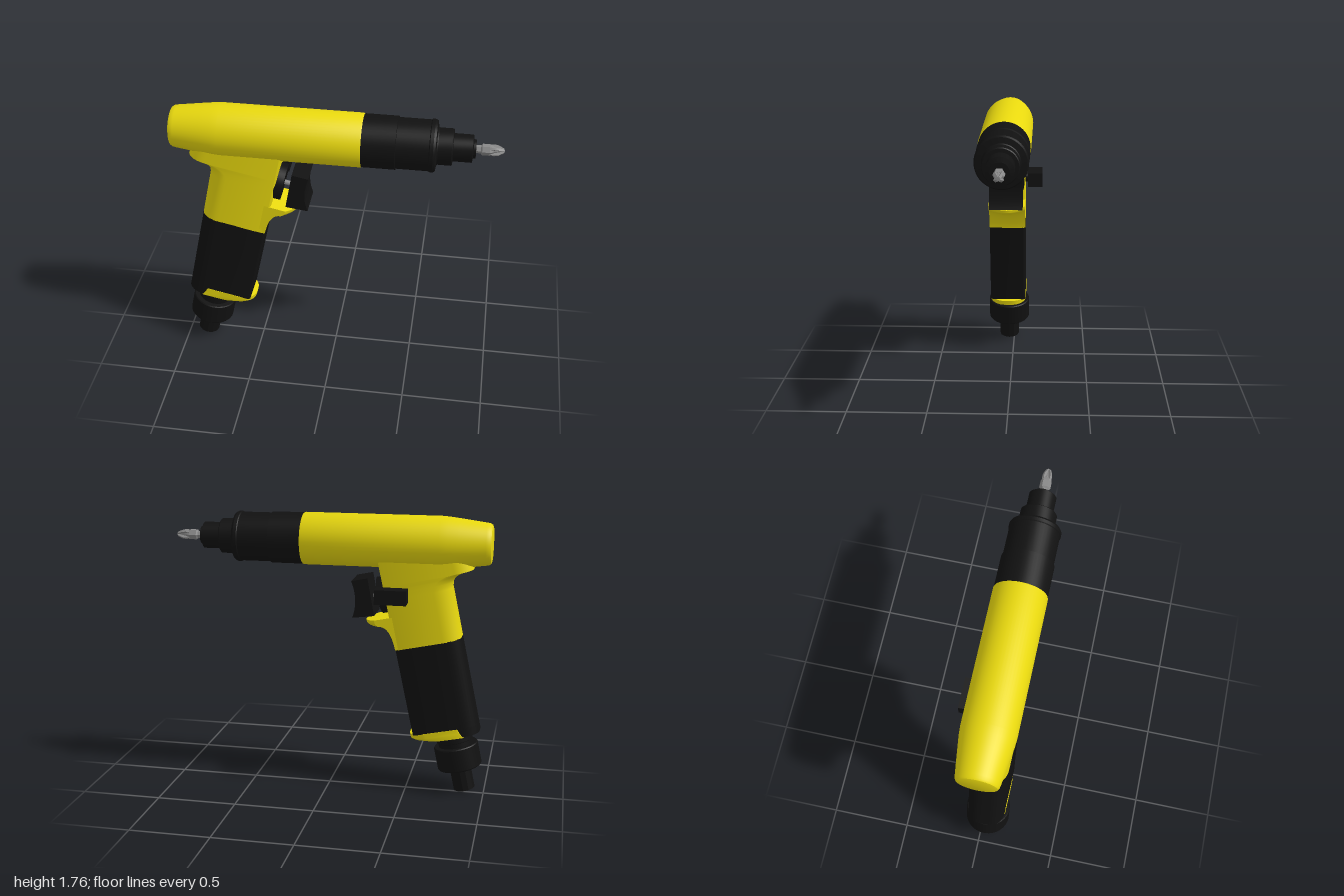
import * as THREE from 'three';
import { toCreasedNormals } from 'three/addons/utils/BufferGeometryUtils.js';

const mat = (color) => new THREE.MeshStandardMaterial({ color, side: THREE.DoubleSide });
const V2 = (p) => new THREE.Vector2(p[0], p[1]);

function add(parent, name, geo, material, crease = 0.5) {
  const mesh = new THREE.Mesh(toCreasedNormals(geo, crease), material);
  mesh.name = name;
  parent.add(mesh);
  return mesh;
}

// Turned part, profile given as [radius, distance along the axis]
const turned = (profile, sides = 48) => new THREE.LatheGeometry(profile.map(V2), sides);

// Side outline extruded across z, centred
function slab(shape, width, steps = 1) {
  const geo = new THREE.ExtrudeGeometry(shape, { depth: width, steps, bevelEnabled: false, curveSegments: 16 });
  return geo.translate(0, 0, -width / 2);
}

// Horizontal section: rectangle with elliptical corners at the back and front
function section({ v, u0, u1, w = 0.12, back = [0.11, 0.085], front = [0.02, 0.02], slope = 0 }) {
  const pts = [], n = 8;
  const corners = [[1, 1], [-1, 1], [-1, -1], [1, -1]];
  corners.forEach(([sx, sz], c) => {
    const [ru, rz] = sx > 0 ? front : back;
    const cu = sx > 0 ? u1 - ru : u0 + ru;
    for (let i = 0; i <= n; i++) {
      const a = (c + i / n) * Math.PI / 2;
      const u = cu + ru * Math.cos(a);
      pts.push([u, v + slope * u, sz * (w - rz) + rz * Math.sin(a)]);
    }
  });
  return pts;
}

// Skin a stack of sections and close both ends
function loft(rows) {
  const loops = rows.map(section), pos = [], n = loops[0].length;
  const centre = (l) => [0, 1, 2].map((k) => l.reduce((s, p) => s + p[k], 0) / n);
  const bottom = loops[0], top = loops[loops.length - 1];
  const cb = centre(bottom), ct = centre(top);
  for (let i = 0; i < n; i++) {
    const j = (i + 1) % n;
    for (let r = 0; r + 1 < loops.length; r++) {
      const a = loops[r][i], b = loops[r][j], c = loops[r + 1][i], d = loops[r + 1][j];
      pos.push(...a, ...c, ...b, ...b, ...c, ...d);
    }
    pos.push(...cb, ...bottom[i], ...bottom[j], ...ct, ...top[j], ...top[i]);
  }
  const geo = new THREE.BufferGeometry();
  geo.setAttribute('position', new THREE.Float32BufferAttribute(pos, 3));
  return geo;
}

export function createModel() {
  const model = new THREE.Group();
  model.name = 'pneumaticScrewdriver';
  const yellow = mat(0xe8d80e), black = mat(0x111111), steel = mat(0x888888);

  // Barrel: everything turned about the long axis
  const barrel = new THREE.Group();
  barrel.name = 'barrel';
  barrel.position.set(0, 1.6, 0.032);
  barrel.rotation.z = -Math.PI / 2;
  model.add(barrel);

  add(barrel, 'motorHousing', turned([[0, -1], [0.105, -1], [0.118, -0.996], [0.126, -0.985], [0.13, -0.965],
    [0.152, -0.8], [0.16, -0.735], [0.163, -0.69], [0.163, 0.16], [0.16, 0.168], [0, 0.168]]), yellow);
  add(barrel, 'clutchHousing', turned([[0, 0.168], [0.16, 0.168], [0.16, 0.37], [0.153, 0.372], [0.153, 0.565],
    [0.158, 0.57], [0.158, 0.59], [0.15, 0.603], [0.115, 0.608], [0.11, 0.615], [0.11, 0.695], [0.105, 0.7],
    [0.083, 0.702], [0.083, 0.815], [0.056, 0.82], [0.056, 0.835], [0, 0.835]]), black);

  // Screwdriver bit: hex body, tapered core and four fins
  const bit = new THREE.Group();
  bit.name = 'bit';
  barrel.add(bit);
  add(bit, 'bitShank', turned([[0, 0.83], [0.024, 0.83], [0.024, 0.862], [0.034, 0.87], [0.034, 0.915],
    [0.026, 0.935], [0, 0.935]], 6), steel, 0.1);
  add(bit, 'bitCore', turned([[0, 0.93], [0.023, 0.93], [0.009, 0.99], [0, 1]], 12), steel);
  const fin = new THREE.Shape([[-0.03, 0.915], [0.03, 0.915], [0.034, 0.94], [0.03, 0.965], [0.013, 0.997],
    [0, 1], [-0.013, 0.997], [-0.03, 0.965], [-0.034, 0.94]].map(V2));
  for (let i = 0; i < 2; i++) {
    add(bit, 'bitFin', slab(fin, 0.014), steel).rotation.y = Math.PI / 4 + i * Math.PI / 2;
  }

  // Handle: built upright, then leaned forward
  const handle = new THREE.Group();
  handle.name = 'handle';
  handle.position.set(-0.876, 0.017, 0.035);
  handle.rotation.z = -0.213;
  model.add(handle);

  const u0 = -0.171, u1 = 0.241;
  add(handle, 'upperHandle', loft([
    { v: 0.99, u0, u1 }, { v: 1.31, u0, u1 }, { v: 1.345, u0: -0.182, u1 }, { v: 1.365, u0: -0.2, u1 },
    { v: 1.38, u0: -0.225, u1 }, { v: 1.392, u0: -0.265, u1 }, { v: 1.397, u0: -0.32, u1 },
    { v: 1.568, u0: -0.31, u1, slope: 0.216 },
  ]), yellow, 0.6);
  add(handle, 'grip', loft([
    { v: 0.375, u0, u1: -0.03 }, { v: 0.428, u0, u1: -0.01 }, { v: 0.428, u0, u1 }, { v: 0.992, u0, u1 },
  ]), black);

  // Finger rest below the trigger, its lip rounded across the width
  const rest = new THREE.Shape();
  rest.moveTo(0.2, 1.0);
  rest.lineTo(u1, 0.993);
  rest.bezierCurveTo(0.243, 1.09, 0.28, 1.148, 0.36, 1.155);
  rest.quadraticCurveTo(0.39, 1.16, 0.402, 1.182);
  rest.lineTo(0.402, 1.2);
  rest.lineTo(0.2, 1.2);
  const restGeo = slab(rest, 0.24, 12), p = restGeo.attributes.position;
  for (let i = 0; i < p.count; i++) {
    const over = Math.max(0, p.getX(i) - u1);
    p.setX(i, p.getX(i) - over * 0.42 * (p.getZ(i) / 0.12) ** 2);
  }
  add(handle, 'fingerRest', restGeo, yellow);

  // Collar at the foot of the grip, with a rounded front lip
  const lip = { w: 0.122, back: [0.01, 0.01], front: [0.11, 0.1] };
  add(handle, 'gripCollar', loft([
    { v: 0.37, u0: -0.075, u1: 0.18, ...lip }, { v: 0.387, u0: -0.067, u1: 0.25, ...lip },
    { v: 0.4, u0: -0.061, u1: 0.27, ...lip }, { v: 0.43, u0: -0.049, u1: 0.27, ...lip },
  ]), yellow);

  // Air inlet
  add(handle, 'inletNeck', turned([[0, 0.28], [0.108, 0.28], [0.108, 0.33], [0.116, 0.335], [0.116, 0.4], [0, 0.4]]), black);
  add(handle, 'inletNut', turned([[0, 0.153], [0.136, 0.153], [0.141, 0.16], [0.141, 0.296], [0.136, 0.302], [0, 0.302]]), black);
  add(handle, 'inletTail', turned([[0, 0], [0.068, 0], [0.068, 0.16], [0, 0.16]], 12), black);

  // Trigger: seat disc, plunger rod and concave button
  const along = (r, from, to) => new THREE.CylinderGeometry(r, r, to - from, 32)
    .rotateZ(-Math.PI / 2).translate((from + to) / 2, 1.332, 0);
  add(handle, 'triggerSeat', along(0.115, 0.22, 0.285), black);
  add(handle, 'triggerRod', along(0.015, 0.28, 0.34), steel);
  const button = new THREE.Shape();
  button.moveTo(0.33, 1.226);
  button.lineTo(0.468, 1.238);
  button.quadraticCurveTo(0.405, 1.34, 0.427, 1.466);
  button.lineTo(0.323, 1.465);
  add(handle, 'triggerButton', slab(button, 0.215), black);

  // Reversing lever on the model's back side
  const lever = new THREE.Group();
  lever.name = 'reverseLever';
  lever.position.set(-0.41, 1.29, 0);
  model.add(lever);
  add(lever, 'leverPaddle', new THREE.BoxGeometry(0.195, 0.09, 0.095).translate(0, 0, -0.15), black);
  add(lever, 'leverStem', new THREE.CylinderGeometry(0.03, 0.03, 0.06, 24).rotateX(Math.PI / 2).translate(0, 0, -0.09), black);

  return model;
}
